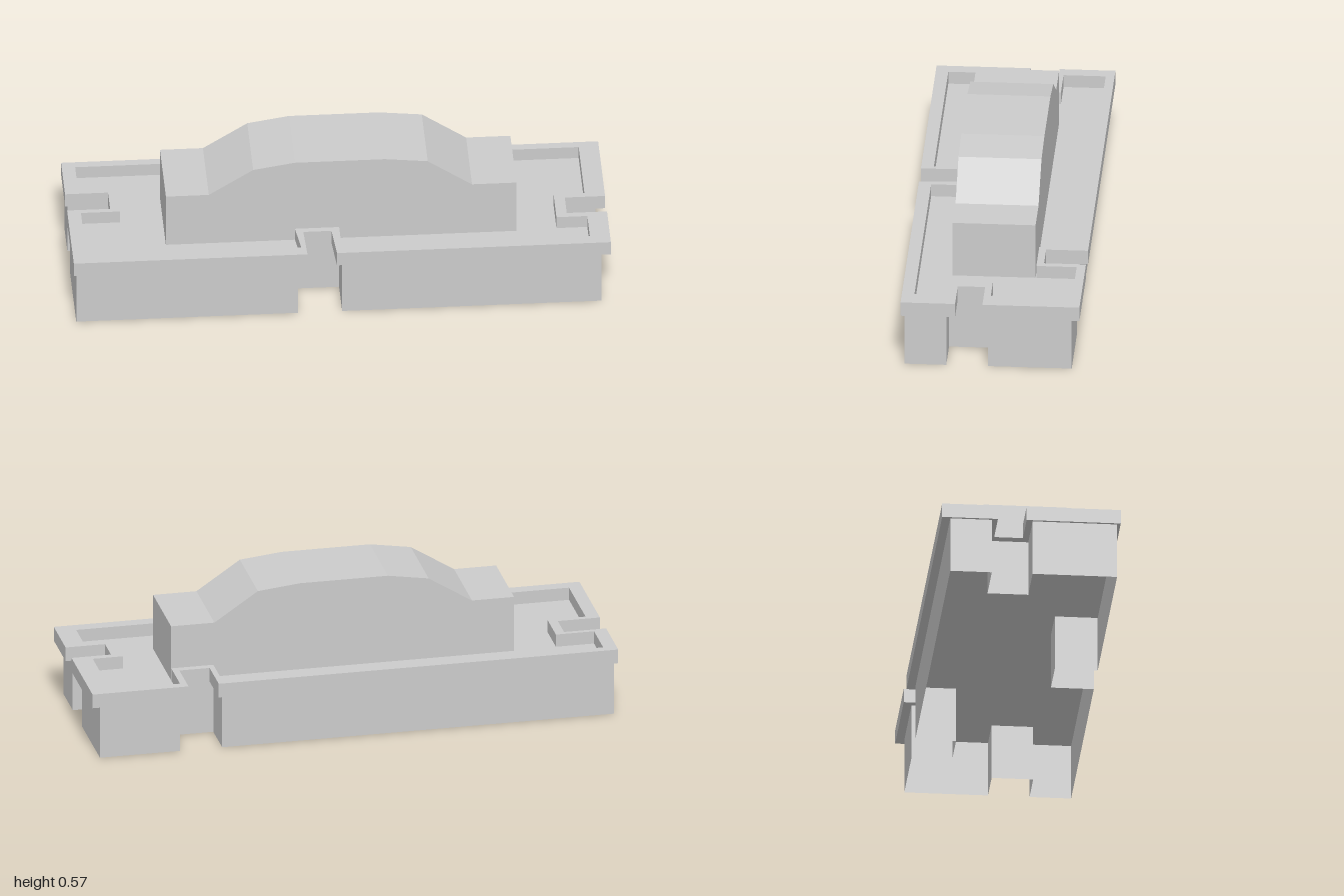
import * as THREE from 'three';

const grey = new THREE.MeshStandardMaterial({ color: 0xcccccc, flatShading: true });
const greyOpen = new THREE.MeshStandardMaterial({ color: 0xcccccc, flatShading: true, side: THREE.DoubleSide });

const LEDGE = 0.215, FLOOR = 0.221, RIM = 0.27;

// Rectangle [x0, x1, z0, z1] with one notch per side; points are [x, z].
// Each notch lists its corners, counter-clockwise seen from above.
function notched([x0, x1, z0, z1], front, right, back, left) {
  return [
    [x0, z1], ...front, [x1, z1], ...right,
    [x1, z0], ...back, [x0, z0], ...left,
  ];
}

const rimOuter = notched([-1, 1, -0.333, 0.333],
  [[-0.13, 0.333], [-0.135, 0.185], [-0.03, 0.185], [-0.02, 0.333]],
  [[1, 0.13], [0.85, 0.13], [0.85, 0.028], [1, 0.028]],
  [[0.635, -0.333], [0.635, -0.177], [0.52, -0.177], [0.52, -0.333]],
  [[-1, -0.125], [-0.84, -0.125], [-0.84, -0.018], [-1, -0.018]]);

const rimInner = notched([-0.95, 0.925, -0.3, 0.286],
  [[-0.15, 0.286], [-0.165, 0.158], [0, 0.158], [0, 0.286]],
  [[0.925, 0.155], [0.81, 0.155], [0.81, 0.002], [0.925, 0.002]],
  [[0.66, -0.3], [0.66, -0.15], [0.5, -0.15], [0.5, -0.3]],
  [[-0.95, -0.143], [-0.805, -0.143], [-0.805, 0.002], [-0.95, 0.002]]);

const wallLine = notched([-0.99, 0.965, -0.302, 0.32],
  [[-0.165, 0.32], [-0.165, 0.16], [0, 0.16], [0, 0.32]],
  [[0.965, 0.165], [0.81, 0.165], [0.81, 0.01], [0.965, 0.01]],
  [[0.66, -0.302], [0.66, -0.15], [0.5, -0.15], [0.5, -0.302]],
  [[-0.99, -0.147], [-0.805, -0.147], [-0.805, 0.005], [-0.99, 0.005]]);

const toPoints = (line) => line.map(([x, z]) => new THREE.Vector2(x, -z));

// Flat slab standing between two heights, with an optional hole
function slab(line, y0, y1, hole) {
  const shape = new THREE.Shape(toPoints(line));
  if (hole) shape.holes.push(new THREE.Path(toPoints(hole)));
  return new THREE.ExtrudeGeometry(shape, { depth: y1 - y0, bevelEnabled: false })
    .rotateX(-Math.PI / 2).translate(0, y0, 0);
}

// Open band of upright walls along a closed outline
function band(line, y0, y1) {
  const pos = [];
  line.forEach(([ax, az], i) => {
    const [bx, bz] = line[(i + 1) % line.length];
    pos.push(ax, y0, az, bx, y0, bz, bx, y1, bz, ax, y0, az, bx, y1, bz, ax, y1, az);
  });
  const geo = new THREE.BufferGeometry();
  geo.setAttribute('position', new THREE.Float32BufferAttribute(pos, 3));
  geo.computeVertexNormals();
  return geo;
}

export function createModel() {
  const model = new THREE.Group();
  model.name = 'building';
  const add = (name, geo, mat = grey) => {
    const mesh = new THREE.Mesh(geo, mat);
    mesh.name = name;
    model.add(mesh);
  };

  // Hollow lower storey, open underneath
  add('lowerWalls', band(wallLine, 0, LEDGE), greyOpen);

  // Flat roof: thin floor inside a raised parapet
  add('roofFloor', slab(rimInner, LEDGE, FLOOR));
  add('parapet', slab(rimOuter, LEDGE, RIM, rimInner));

  // Upper hall with a faceted arched roof
  const hall = new THREE.Shape([
    [-0.645, FLOOR], [0.66, FLOOR], [0.66, 0.438], [0.495, 0.438], [0.33, 0.55],
    [0.17, 0.567], [-0.165, 0.567], [-0.32, 0.542], [-0.485, 0.438], [-0.645, 0.438],
  ].map(([x, y]) => new THREE.Vector2(x, y)));
  add('upperHall', new THREE.ExtrudeGeometry(hall, { depth: 0.309, bevelEnabled: false })
    .translate(0, 0, -0.147));

  return model;
}
